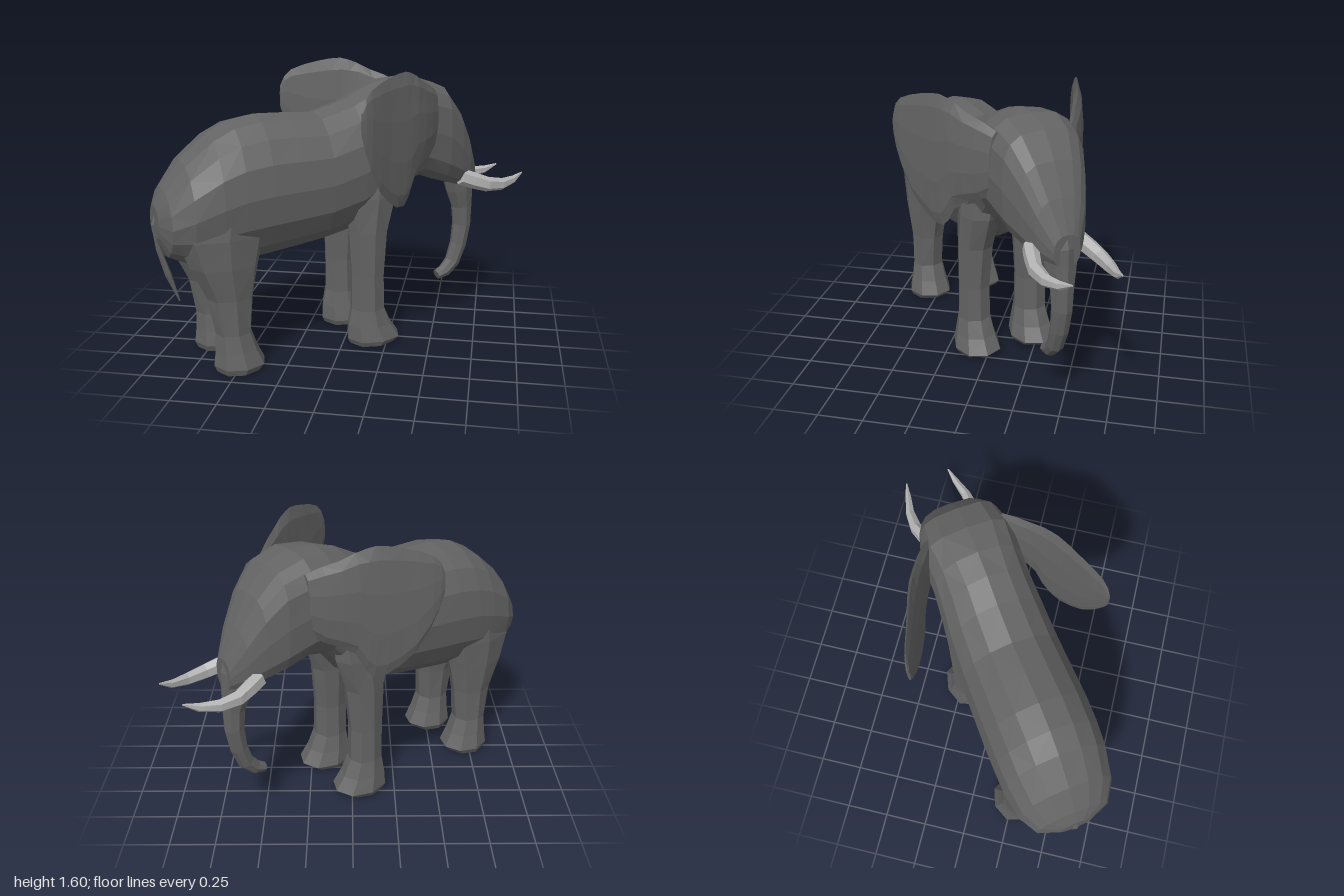
import * as THREE from 'three';

const hide = new THREE.MeshStandardMaterial({ color: 0x636363 });
hide.name = 'grey hide';
const ivory = new THREE.MeshStandardMaterial({ color: 0xb0b0b0 });
ivory.name = 'pale ivory';

// Faceted sweep through stations [x, y, z, halfHeight, halfWidth, squareness].
// Rings are square to 'axis', or to the path itself when no axis is given.
function sweep(stations, sides, axis) {
  const pos = [], idx = [], n = stations.length;
  stations.forEach(([x, y, z, h, w, power = 1], i) => {
    const a = stations[Math.max(i - 1, 0)], b = stations[Math.min(i + 1, n - 1)];
    const t = axis || new THREE.Vector2(b[0] - a[0], b[1] - a[1]).normalize();
    const round = (v) => Math.sign(v) * Math.abs(v) ** power;
    for (let j = 0; j < sides; j++) {
      const ang = (j / sides) * Math.PI * 2;
      const c = round(Math.cos(ang)) * h, s = round(Math.sin(ang)) * w;
      pos.push(x - t.y * c, y + t.x * c, z + s);
    }
  });
  for (let i = 0; i < n - 1; i++) {
    for (let j = 0; j < sides; j++) {
      const k = (j + 1) % sides, r = i * sides, q = r + sides;
      // diagonals alternate for irregular facets
      if ((i + j) % 2) idx.push(r + j, r + k, q + j, r + k, q + k, q + j);
      else idx.push(r + j, q + k, q + j, r + j, r + k, q + k);
    }
  }
  // end caps
  for (const [i, flip] of [[0, false], [n - 1, true]]) {
    const centre = pos.length / 3;
    pos.push(...stations[i].slice(0, 3));
    for (let j = 0; j < sides; j++) {
      const p = i * sides + j, q = i * sides + ((j + 1) % sides);
      idx.push(centre, flip ? p : q, flip ? q : p);
    }
  }
  const g = new THREE.BufferGeometry();
  g.setAttribute('position', new THREE.Float32BufferAttribute(pos, 3));
  g.setIndex(idx);
  const flat = g.toNonIndexed();
  flat.computeVertexNormals();
  return flat;
}

function add(parent, name, geometry, material) {
  const mesh = new THREE.Mesh(geometry, material);
  mesh.name = name;
  parent.add(mesh);
}

const ALONG = new THREE.Vector2(1, 0), UP = new THREE.Vector2(0, 1);

// Sections across the length: [x, top, bottom, side offset, halfWidth, squareness]
const crossRings = (rows) =>
  rows.map(([x, t, b, z, w, p]) => [x, (t + b) / 2, z, (t - b) / 2, w, p]);

const body = crossRings([
  [-1.12, 0.93, 0.74, 0, 0.09], [-1.075, 1.02, 0.64, 0, 0.21], [-0.97, 1.16, 0.59, 0, 0.275, 0.95],
  [-0.82, 1.285, 0.575, 0, 0.3, 0.92], [-0.7, 1.345, 0.575, 0, 0.305, 0.92], [-0.55, 1.37, 0.585, 0, 0.305, 0.92],
  [-0.38, 1.365, 0.605, 0, 0.3, 0.92], [-0.2, 1.355, 0.63, 0, 0.295, 0.92], [0.0, 1.415, 0.67, 0, 0.285, 0.92],
  [0.14, 1.485, 0.75, 0, 0.27, 0.9], [0.27, 1.52, 0.91, 0, 0.26, 0.8], [0.42, 1.525, 0.95, 0, 0.262, 0.66],
  [0.57, 1.475, 0.895, 0, 0.235, 0.62], [0.68, 1.345, 0.86, 0, 0.19, 0.64], [0.77, 1.18, 0.835, 0, 0.14, 0.7],
  [0.845, 1.01, 0.83, 0, 0.075, 0.85],
]);

// Broad ear, thin towards its rear edge and curving into the head at the front
const ear = crossRings([
  [-0.175, 1.43, 1.3, 0.552, 0.008], [-0.15, 1.49, 1.22, 0.545, 0.015], [-0.11, 1.53, 1.12, 0.53, 0.02],
  [-0.04, 1.56, 0.99, 0.497, 0.025], [0.03, 1.58, 0.92, 0.462, 0.028], [0.1, 1.595, 0.872, 0.43, 0.033],
  [0.16, 1.6, 0.868, 0.402, 0.038], [0.2, 1.59, 0.91, 0.382, 0.042], [0.25, 1.57, 1.01, 0.357, 0.045],
  [0.32, 1.53, 1.05, 0.315, 0.048], [0.39, 1.5, 1.08, 0.266, 0.048], [0.46, 1.46, 1.14, 0.215, 0.04],
]);

// Legs: [y, back, front, side offset, halfWidth]
const legRings = (rows) => rows.map(([y, b, f, z, w]) => [(b + f) / 2, y, z, (f - b) / 2, w, 0.9]);
const frontLeg = legRings([
  [0.01, -0.055, 0.215, 0.18, 0.12], [0.04, -0.07, 0.255, 0.18, 0.135], [0.12, -0.065, 0.2, 0.18, 0.115],
  [0.22, -0.045, 0.155, 0.18, 0.097], [0.42, -0.045, 0.15, 0.18, 0.092], [0.68, -0.06, 0.175, 0.172, 0.1],
  [0.88, -0.08, 0.24, 0.16, 0.11], [1.15, -0.04, 0.25, 0.135, 0.11],
]);
const hindLeg = legRings([
  [0.0, -0.865, -0.625, 0.18, 0.12], [0.035, -0.88, -0.59, 0.18, 0.135], [0.12, -0.87, -0.63, 0.18, 0.115],
  [0.22, -0.865, -0.665, 0.18, 0.097], [0.42, -0.9, -0.645, 0.175, 0.1], [0.6, -0.985, -0.605, 0.168, 0.12],
  [0.76, -1.045, -0.56, 0.152, 0.14], [1.0, -1.0, -0.54, 0.13, 0.148],
]);

const tusk = [
  [0.7, 0.92, 0.135, 0.05, 0.045], [0.77, 0.895, 0.158, 0.05, 0.044], [0.86, 0.866, 0.183, 0.045, 0.038],
  [0.97, 0.855, 0.18, 0.037, 0.029], [1.07, 0.868, 0.155, 0.025, 0.02], [1.148, 0.9, 0.135, 0.005, 0.005],
];
const trunk = [
  [0.74, 1.06, 0, 0.08, 0.1], [0.762, 0.92, 0, 0.1, 0.1], [0.778, 0.81, 0, 0.085, 0.085],
  [0.8, 0.7, 0, 0.064, 0.065], [0.805, 0.58, 0, 0.057, 0.058], [0.785, 0.45, 0, 0.051, 0.052],
  [0.745, 0.34, 0, 0.046, 0.047], [0.69, 0.285, 0, 0.04, 0.042], [0.635, 0.265, 0, 0.028, 0.034],
];
const tail = [
  [-1.08, 0.92, 0, 0.02, 0.025], [-1.12, 0.82, 0, 0.018, 0.02], [-1.105, 0.68, 0, 0.014, 0.016],
  [-1.06, 0.53, 0, 0.018, 0.02], [-1.005, 0.37, 0, 0.004, 0.004],
];

export function createModel() {
  const model = new THREE.Group();
  model.name = 'elephant';

  // The animal is built along +x, then turned to stand diagonally
  const animal = new THREE.Group();
  animal.name = 'turnedAnimal';
  animal.rotation.y = 0.62;
  animal.position.set(-0.012, 0, -0.016);
  model.add(animal);

  add(animal, 'bodyAndHead', sweep(body, 16, ALONG), hide);
  add(animal, 'trunk', sweep(trunk, 8), hide);
  add(animal, 'tail', sweep(tail, 6), hide);

  // Paired parts, mirrored across the spine
  for (const [side, s] of [['right', 1], ['left', -1]]) {
    const half = new THREE.Group();
    half.name = side + 'Parts';
    half.scale.z = s;
    animal.add(half);
    add(half, side + 'FrontLeg', sweep(frontLeg, 8, UP), hide);
    add(half, side + 'HindLeg', sweep(hindLeg, 8, UP), hide);
    add(half, side + 'Tusk', sweep(tusk, 6), ivory);
    add(half, side + 'Ear', sweep(ear, 10, ALONG), hide);
  }
  return model;
}
